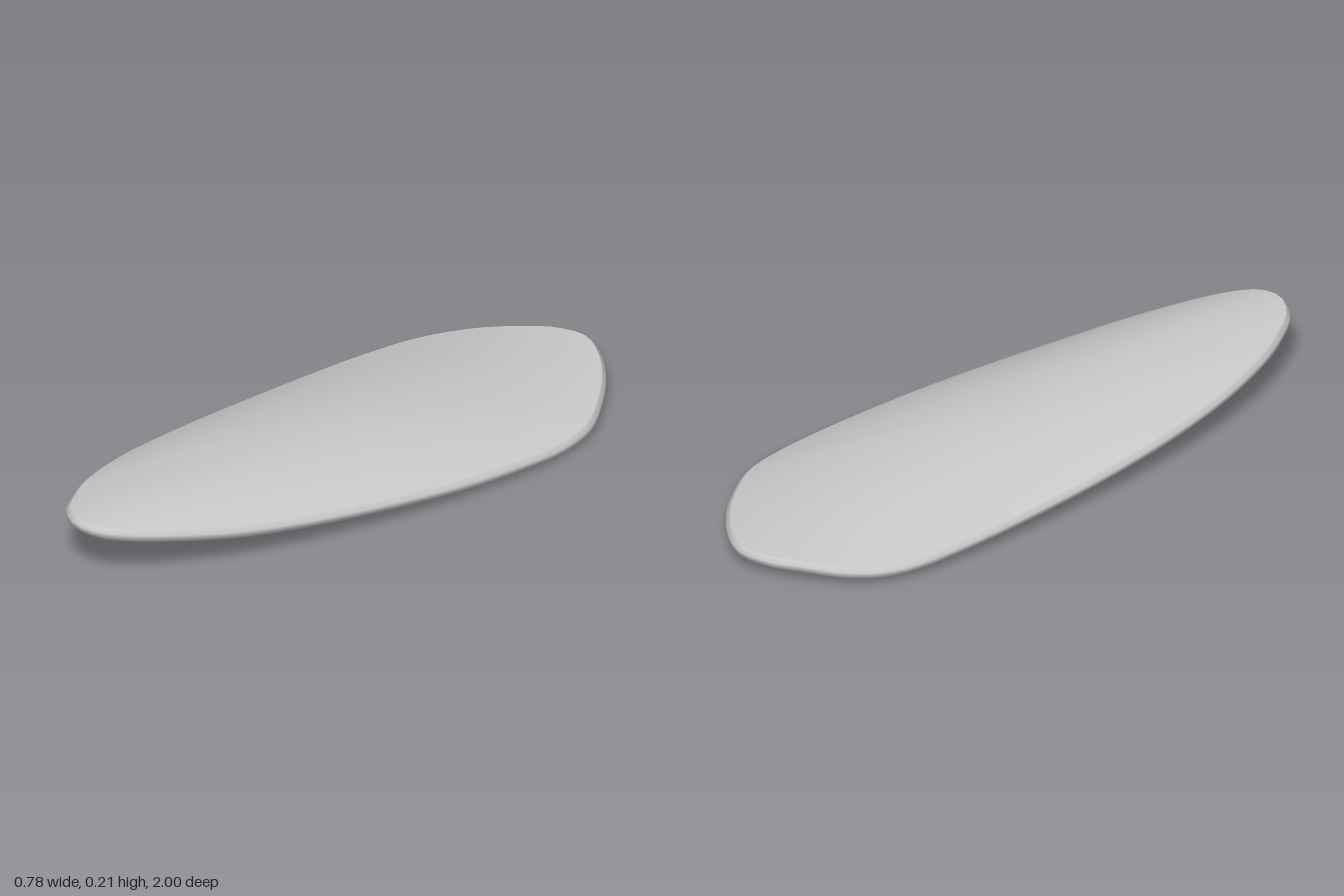
import * as THREE from 'three';

const N = 112; // samples around the outline

// Lower rim path: x, y, z, starting at the back tip and running by the +x side
const OUTLINE = [
  [0.01, 0.035, -1], [0.1, 0.033, -0.97], [0.2, 0.026, -0.9], [0.29, 0.016, -0.8],
  [0.36, 0.005, -0.69], [0.387, 0.001, -0.55], [0.385, 0.008, -0.4], [0.368, 0.02, -0.2],
  [0.337, 0.036, 0], [0.295, 0.053, 0.2], [0.245, 0.072, 0.4], [0.185, 0.097, 0.6],
  [0.1, 0.13, 0.8], [0.045, 0.147, 0.9], [-0.02, 0.16, 0.975], [-0.1, 0.165, 1],
  [-0.18, 0.16, 0.965], [-0.23, 0.152, 0.9], [-0.285, 0.142, 0.8], [-0.345, 0.117, 0.6],
  [-0.375, 0.093, 0.4], [-0.39, 0.073, 0.2], [-0.395, 0.056, 0], [-0.393, 0.042, -0.2],
  [-0.385, 0.029, -0.4], [-0.362, 0.017, -0.6], [-0.33, 0.014, -0.7], [-0.27, 0.019, -0.8],
  [-0.17, 0.03, -0.9], [-0.09, 0.034, -0.965],
];

const spineX = (z) => -0.04 - 0.055 * z;
const spineY = (z) => 0.176 + 0.072 * z - 0.02 * z * z;

// Outline moved inward by `inset` and upward by `lift`
function rimRing(curve, inset, lift) {
  return Array.from({ length: N }, (_, i) => {
    const p = curve.getPointAt(i / N);
    const t = curve.getTangentAt(i / N);
    const l = Math.hypot(t.x, t.z);
    return new THREE.Vector3(p.x - (t.z / l) * inset, p.y + lift, p.z + (t.x / l) * inset);
  });
}

// Rim ring shrunk towards the spine, rising to the crest as s goes to 0
function domeRing(ring, s, drop) {
  return ring.map((p) => {
    const z = p.z * s;
    const y = THREE.MathUtils.lerp(spineY(z) - drop, p.y, Math.pow(s, 2.2));
    return new THREE.Vector3(spineX(z) + s * (p.x - spineX(p.z)), y, z);
  });
}

// Joins successive closed rings with quads
function loft(rings) {
  const index = [];
  for (let k = 0; k < rings.length - 1; k++) {
    for (let i = 0; i < N; i++) {
      const j = (i + 1) % N;
      const a = k * N + i, b = k * N + j, c = a + N, d = b + N;
      index.push(a, b, c, b, d, c);
    }
  }
  const geometry = new THREE.BufferGeometry().setFromPoints(rings.flat());
  geometry.setIndex(index);
  geometry.computeVertexNormals();
  return geometry;
}

export function createModel() {
  const group = new THREE.Group();
  group.name = 'curvedShell';
  const grey = new THREE.MeshStandardMaterial({ color: 0xc8c8c8 });
  grey.name = 'light grey';

  const curve = new THREE.CatmullRomCurve3(OUTLINE.map((p) => new THREE.Vector3(...p)), true);
  const top = rimRing(curve, 0.012, 0.047);
  const bottom = rimRing(curve, 0.02, 0);
  const steps = [0.02, 0.15, 0.3, 0.45, 0.6, 0.72, 0.82, 0.9, 0.96, 1];

  const add = (name, rings) => {
    const mesh = new THREE.Mesh(loft(rings), grey);
    mesh.name = name;
    group.add(mesh);
  };

  // Domed upper face, from the crest out to the rim
  add('upperFace', [0, ...steps].map((s) => domeRing(top, s, 0)));
  // Rounded edge band
  add('rim', [top, rimRing(curve, 0, 0.034), rimRing(curve, 0, 0.018), bottom]);
  // Hollow underside, from the rim back to the middle
  add('underside', [0, ...steps].reverse().map((s) => domeRing(bottom, s, 0.055)));

  return group;
}
